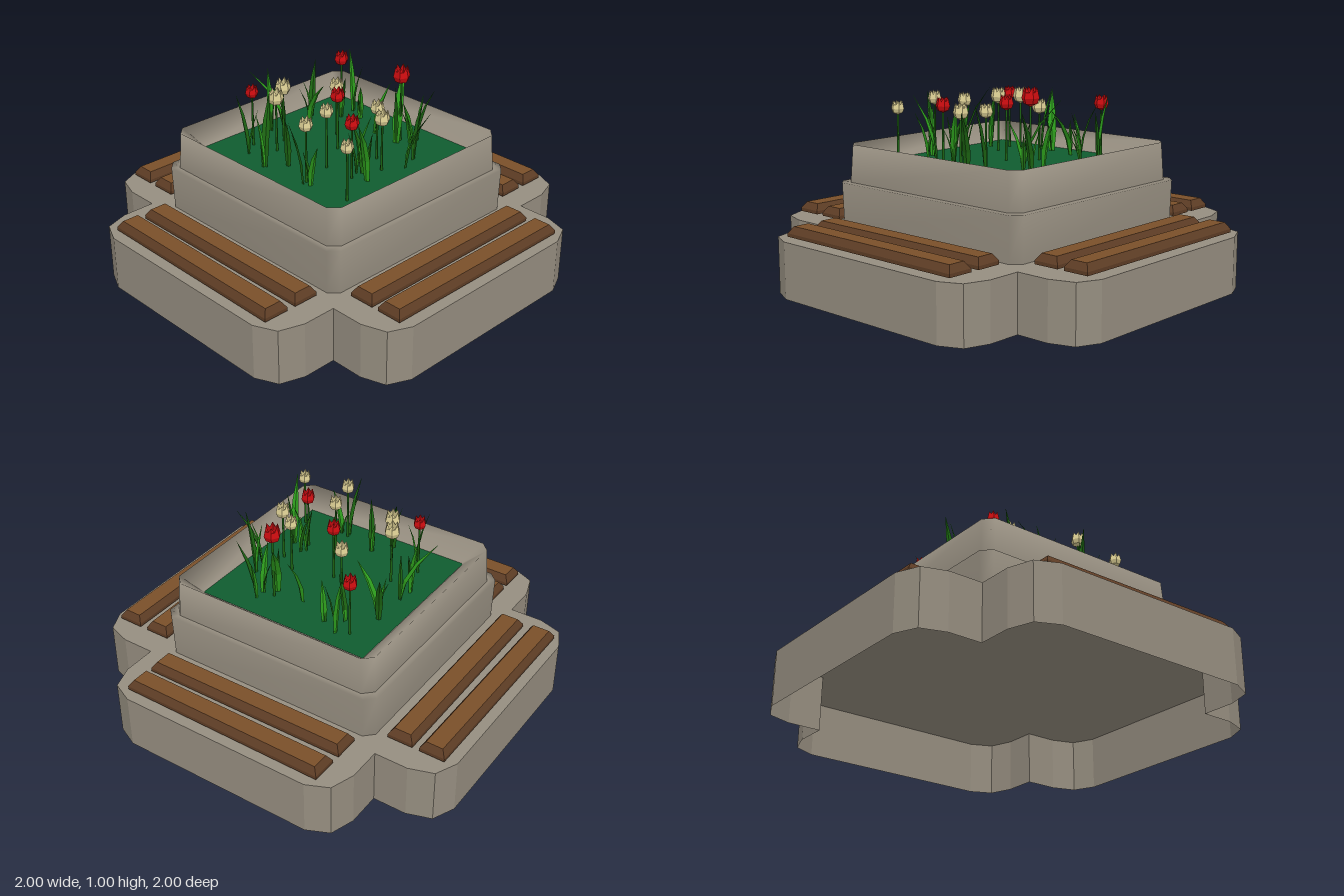
import * as THREE from 'three';

const mat = (name, color, double = true) => {
  const m = new THREE.MeshStandardMaterial({ color, side: double ? THREE.DoubleSide : THREE.FrontSide });
  m.name = name;
  return m;
};

// skins a stack of closed rings of [x, y, z] points
function loft(rings, flat) {
  const n = rings[0].length, index = [];
  for (let r = 0; r < rings.length - 1; r++)
    for (let i = 0; i < n; i++) {
      const j = (i + 1) % n, a = r * n + i, b = r * n + j;
      index.push(a, a + n, b, b, a + n, b + n);
    }
  let g = new THREE.BufferGeometry();
  g.setAttribute('position', new THREE.Float32BufferAttribute(rings.flat(2), 3));
  g.setIndex(index);
  if (flat) g = g.toNonIndexed();
  g.computeVertexNormals();
  return g;
}

// repeats one quarter of an outline around the y axis
function fourfold(quarter) {
  const out = [];
  for (let k = 0; k < 4; k++) {
    out.push(...quarter);
    quarter = quarter.map(([x, z]) => [-z, x]);
  }
  return out;
}
const ringAt = (outline, y) => outline.map(([x, z]) => [x, y, z]);
const squareRing = (s, y, c = 0.045) => ringAt(fourfold([[s, s - c], [s - c, s]]), y);

// tapering, folded leaf that bends from its base to its tip
function bladeGeometry(bx, bz, tx, tz, y0, y1, width) {
  const dx = tx - bx, dz = tz - bz, len = Math.hypot(dx, dz) || 1;
  const sx = -dz / len, sz = dx / len, pos = [], index = [];
  const widths = [0.6, 1, 0.75, 0.04];
  widths.forEach((k, i) => {
    const t = i / 3, bend = t * t, w = width * k / 2, fold = w * 0.5;
    const x = bx + dx * bend, z = bz + dz * bend, y = y0 + (y1 - y0) * t;
    pos.push(x + sx * w, y, z + sz * w);
    pos.push(x + dx / len * fold, y, z + dz / len * fold);
    pos.push(x - sx * w, y, z - sz * w);
    if (i < 3) for (const a of [i * 3, i * 3 + 1]) index.push(a, a + 1, a + 3, a + 1, a + 4, a + 3);
  });
  let g = new THREE.BufferGeometry();
  g.setAttribute('position', new THREE.Float32BufferAttribute(pos, 3));
  g.setIndex(index);
  g = g.toNonIndexed();
  g.computeVertexNormals();
  return g;
}

// tulip cup with a zigzag crown of petals
function tulipGeometry(r, h) {
  const n = 12, profile = [[0.05, 0], [0.75, 0.14], [1, 0.42], [0.85, 0.72], [0.7, 1]];
  return loft(profile.map(([pr, py], k) => Array.from({ length: n }, (_, i) => {
    const a = i / n * Math.PI * 2, valley = i % 2;
    const rr = r * pr * (valley ? 0.86 : 1);
    const y = h * (k === 4 && valley ? 0.74 : py);
    return [Math.cos(a) * rr, y, Math.sin(a) * rr];
  })), true);
}

export function createModel() {
  const group = new THREE.Group();
  const stone = mat('stone', 0x968e80);
  const woodTop = mat('wood top', 0x7a4f29, false);
  const woodEdge = mat('wood edge', 0x5e3d25, false);
  const soilGreen = mat('bed green', 0x105c2f);
  const leafLight = mat('light leaf', 0x2c9a1c);
  const leafDark = mat('dark leaf', 0x1c6412);
  const red = mat('red petal', 0xcc0d10);
  const cream = mat('cream petal', 0xdccf94);
  const add = (name, geometry, material, parent = group) => {
    const m = new THREE.Mesh(geometry, material);
    m.name = name;
    parent.add(m);
    return m;
  };

  // cross-shaped base, hollow underneath
  const cross = fourfold([[1, 0.51], [0.95, 0.62], [0.83, 0.66], [0.66, 0.66], [0.66, 0.83], [0.62, 0.95], [0.51, 1]]);
  add('baseWall', loft([ringAt(cross, 0), ringAt(cross, 0.28)], true), stone);
  const top = new THREE.ShapeGeometry(new THREE.Shape(cross.map(([x, z]) => new THREE.Vector2(x, -z))));
  add('baseTop', top.rotateX(-Math.PI / 2).translate(0, 0.28, 0), stone);

  // planter box with a set-back upper course and an inward sloping rim
  add('planterLower', loft([squareRing(0.595, 0.28), squareRing(0.6, 0.5), squareRing(0.57, 0.502)]), stone);
  add('planterUpper', loft([squareRing(0.57, 0.5), squareRing(0.56, 0.69), squareRing(0.46, 0.6, 0.01)]), stone);
  add('bed', new THREE.PlaneGeometry(0.92, 0.92).rotateX(-Math.PI / 2).translate(0, 0.602, 0), soilGreen);

  // two bench planks on every side, with chamfered tops
  const plankGeometry = new THREE.BoxGeometry(1.09, 0.05, 0.13, 1, 2, 1);
  const p = plankGeometry.attributes.position;
  for (let i = 0; i < p.count; i++) {
    if (p.getY(i) > 0.01) {
      p.setX(i, p.getX(i) - Math.sign(p.getX(i)) * 0.022);
      p.setZ(i, p.getZ(i) - Math.sign(p.getZ(i)) * 0.022);
    } else if (p.getY(i) > -0.01) p.setY(i, -0.008);
  }
  const plank = plankGeometry.toNonIndexed();
  plankGeometry.groups.forEach(g => plank.addGroup(g.start, g.count, g.materialIndex));
  plank.computeVertexNormals();
  const plankMaterials = [woodEdge, woodEdge, woodTop, woodEdge, woodEdge, woodEdge];
  for (let k = 0; k < 4; k++) {
    const bench = new THREE.Group();
    bench.name = 'bench';
    bench.rotation.y = k * Math.PI / 2;
    group.add(bench);
    [0.718, 0.888].forEach((z, i) => {
      const m = add('plank', plank, plankMaterials, bench);
      m.position.set(0, 0.316, z);
      m.rotation.y = i ? -0.005 : 0.003;
    });
  }

  // tulips: x, z, height of the head's middle, size
  const tulips = (list, name, material) => list.forEach(([x, z, y, s]) => {
    const h = 0.078 * s, base = y - h / 2;
    add(name, tulipGeometry(0.036 * s, h), material).position.set(x, base, z);
    add('stem', new THREE.CylinderGeometry(0.005, 0.007, base - 0.59, 5), leafDark)
      .position.set(x, (base + 0.6) / 2, z);
  });
  tulips([[-0.31, -0.34, 0.89, 1], [0.16, -0.29, 0.957, 1.2], [0.01, 0, 0.89, 1],
    [0.28, 0.17, 0.89, 1], [-0.31, 0.27, 0.89, 0.9]], 'redTulip', red);
  tulips([[-0.11, -0.11, 0.87, 1], [0.22, -0.06, 0.875, 0.95], [0.32, 0.01, 0.875, 1.05], [-0.24, 0.13, 0.895, 1.1],
    [-0.18, 0.23, 0.89, 1.1], [0.12, 0.18, 0.9, 0.95], [0.16, 0.35, 0.9, 0.95], [0.42, 0.34, 0.875, 0.9]],
  'creamTulip', cream);

  // leaves: base x, base z, tip x, tip z, tip height
  const leaves = [
    [-0.36, 0.02, -0.49, 0.13, 0.9], [-0.36, -0.17, -0.41, -0.25, 0.88], [-0.33, -0.13, -0.2, -0.11, 0.84],
    [-0.09, 0.39, -0.17, 0.28, 0.93], [0.17, -0.25, 0.07, -0.41, 0.95], [0.22, -0.35, 0.31, -0.37, 0.9],
    [0.02, -0.25, 0.04, -0.34, 0.86], [0.38, -0.09, 0.48, -0.15, 0.9], [0.35, 0.14, 0.4, 0.25, 0.94],
    [0.28, 0.1, 0.21, 0.1, 0.85], [0.26, 0.12, 0.3, 0.06, 0.9], [0.16, 0.37, 0.13, 0.43, 0.92],
    [0.2, 0.36, 0.27, 0.38, 0.83], [-0.02, 0.3, 0.02, 0.35, 0.87], [-0.37, 0.1, -0.42, 0.07, 0.92],
    [-0.25, 0.35, -0.31, 0.37, 0.9], [-0.25, -0.37, -0.3, -0.39, 0.93], [-0.24, -0.27, -0.19, -0.25, 0.84],
    [-0.16, -0.33, -0.12, -0.29, 0.8], [0.35, -0.18, 0.41, -0.17, 0.93], [0.22, -0.3, 0.24, -0.22, 0.85]];
  leaves.forEach(([bx, bz, tx, tz, y], i) => {
    const w = 0.026 + Math.hypot(tx - bx, tz - bz) * 0.12;
    add('leaf', bladeGeometry(bx, bz, tx, tz, 0.6, y, w), i % 2 ? leafDark : leafLight);
    // shorter companion leaf turned to the side
    const a = 1 + i * 0.7, r = 0.05;
    add('smallLeaf', bladeGeometry(bx, bz, bx + Math.cos(a) * r, bz + Math.sin(a) * r, 0.6, y - 0.07, 0.022),
      i % 2 ? leafLight : leafDark);
  });
  return group;
}
